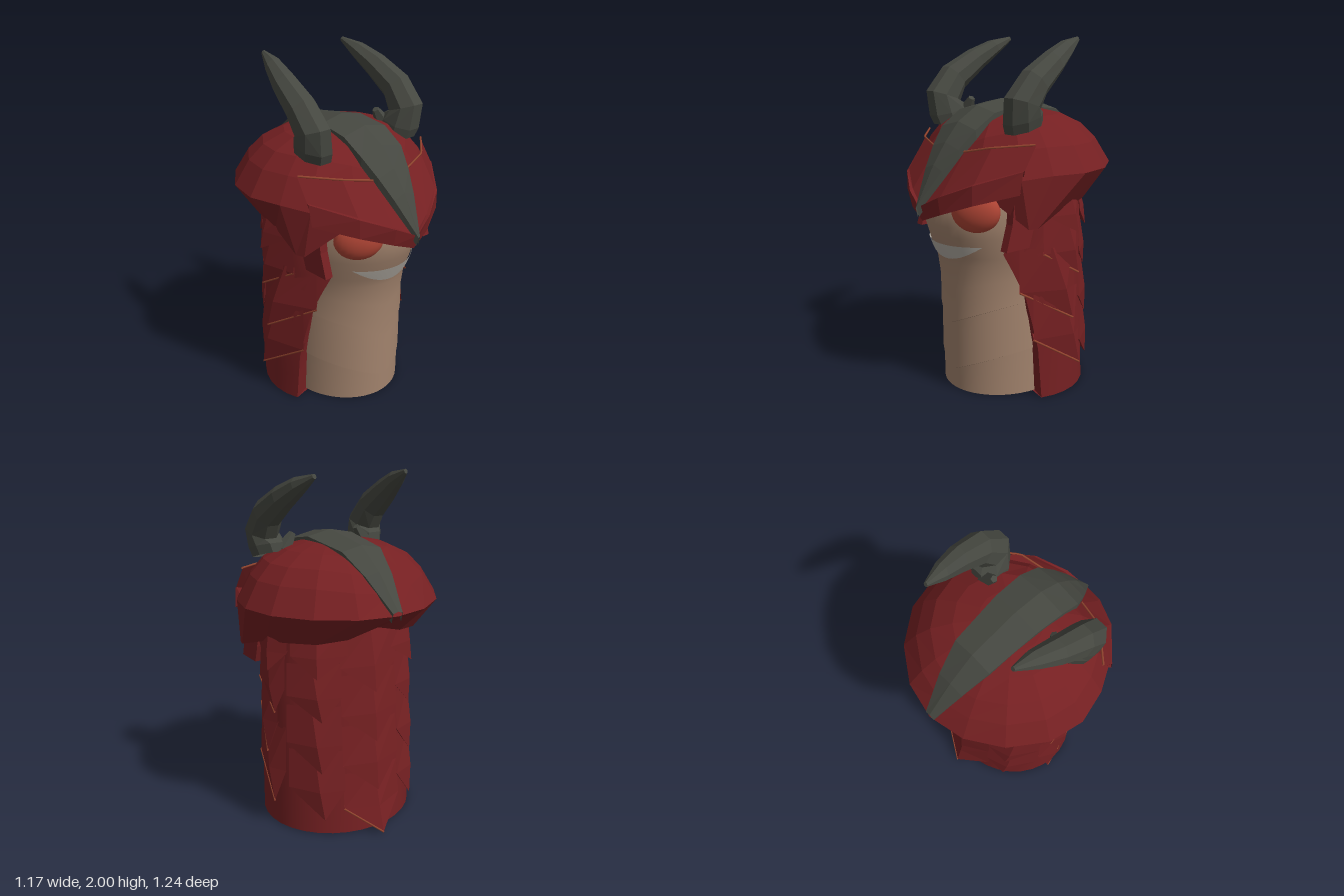
import * as THREE from 'three';
import { toCreasedNormals } from 'three/addons/utils/BufferGeometryUtils.js';

const paint = (name, color) => new THREE.MeshStandardMaterial({ name, color, side: THREE.DoubleSide });

// Linear lookup in a table of [key, value]
function look(table, k) {
  let i = 1;
  while (i < table.length - 1 && k > table[i][0]) i++;
  const [a, b] = [table[i - 1], table[i]];
  const t = THREE.MathUtils.clamp((k - a[0]) / (b[0] - a[0]), 0, 1);
  return a[1] + (b[1] - a[1]) * t;
}

// Skin over rows of points; rows run upward, points run to the right seen from outside
function loft(rows, closed, crease = 0) {
  const n = rows[0].length, index = [];
  for (let r = 0; r < rows.length - 1; r++) {
    for (let i = 0; i < (closed ? n : n - 1); i++) {
      const a = r * n + i, b = r * n + (i + 1) % n;
      index.push(a, b, b + n, a, b + n, a + n);
    }
  }
  return solid(rows.flat(), index, crease);
}

function solid(points, index, crease = 0) {
  let g = new THREE.BufferGeometry();
  g.setAttribute('position', new THREE.Float32BufferAttribute(points.flat(), 3));
  g.setIndex(index);
  if (crease) return toCreasedNormals(g, crease);
  g = g.toNonIndexed();
  g.computeVertexNormals();
  return g;
}

// Thin rod along straight segments
function rod(points, radius) {
  const path = new THREE.CurvePath();
  const v = points.map((p) => new THREE.Vector3(...p));
  for (let i = 1; i < v.length; i++) path.add(new THREE.LineCurve3(v[i - 1], v[i]));
  return new THREE.TubeGeometry(path, 12, radius, 5);
}

// Mirror a half row that runs from the middle to the left side
const mirrorRow = (half) => [...half.slice(1).reverse().map(([x, y, z]) => [-x, y, z]), ...half];

const bodyFront = [[0, .38], [.3, .385], [.55, .395], [.7, .4], [.8, .425], [.88, .46], [1, .5], [1.1, .505], [1.2, .47], [1.35, .36]];
const bodyWide = [[0, .335], [.7, .335], [.85, .36], [1, .38], [1.2, .37], [1.35, .28]];
const shellEdge = [[0, .09], [.3, .11], [.6, .17], [.85, .26], [.95, .21], [1.2, .15]];

// Point on the back shell; angle 0 is the back, growing toward +x
function shellPoint(t, y, out = 0) {
  const c = Math.cos(t), rx = .455 - .01 * y + out;
  const rz = (c > 0 ? .41 - .075 * y : .41) + out;
  return [rx * Math.sin(t), y, -.05 - rz * c];
}

// Corners of a pointed, ridged scale that lifts off the shell toward its tip
function scalePoints(t, top, tip, width, lift, skew) {
  const mid = tip + (top - tip) * .42;
  const p = (k, y, o) => shellPoint(t + k * width - (k === 0 ? skew * (top - y) / (top - tip) : 0), y, o);
  return [
    p(-1, top, .002), p(0, top, .012), p(1, top, .002),
    p(-1, mid, .014), p(0, mid, .028 + lift * .3), p(1, mid, .014),
    p(0, tip, lift), p(-1, mid + .03, -.02), p(0, tip + .07, -.02), p(1, mid + .03, -.02),
  ];
}
const scaleFaces = [0, 1, 4, 0, 4, 3, 1, 2, 5, 1, 5, 4, 3, 4, 6, 4, 5, 6, 3, 6, 8, 3, 8, 7, 6, 5, 9, 6, 9, 8];
// Angles grow leftward seen from behind, so each face is turned over
const scaleIndex = scaleFaces.map((v, i) => scaleFaces[i - i % 3 + [0, 2, 1][i % 3]]).reverse();

export function createModel() {
  const model = new THREE.Group();
  const red = paint('dark red', 0x752022), tan = paint('tan', 0xa2836d), trim = paint('rust trim', 0x94452f);
  const grey = paint('horn grey', 0x454740), orange = paint('eye orange', 0xb04535), bone = paint('tooth grey', 0xb3ada4);
  const add = (name, geometry, material, parent = model) => {
    const m = new THREE.Mesh(geometry, material);
    m.name = name;
    parent.add(m);
    return m;
  };

  // Body with two V-shaped belly plates: [height, V amount, step outward]
  const levels = [[0, 0, 0], [.27, 1, 0], [.273, 1, .006], [.5, 1, .002], [.56, 1, 0], [.563, 1, .006], [.7, .6, .002], [.77, 0, 0],
    [.82, 0, 0], [.88, 0, 0], [.94, 0, 0], [1, 0, 0], [1.1, 0, 0], [1.2, 0, 0], [1.35, 0, 0]];
  const bodyRows = levels.map(([h, v, step]) => Array.from({ length: 48 }, (_, i) => {
    const a = i / 48 * Math.PI * 2, s = Math.sin(a), c = Math.cos(a);
    const y = h - (c > 0 ? .155 * v * (1 - Math.abs(s)) : 0);
    return [s * (look(bodyWide, y) + step), y, c * (c > 0 ? look(bodyFront, y) + step : .34)];
  }));
  bodyRows.unshift(bodyRows[0].map(() => [0, 0, 0]));
  add('body', loft(bodyRows, true, .7), tan);

  // Back shell, tucked in to the body along its front edges
  const shellRows = [0, .15, .3, .45, .6, .75, .85, .95, 1.2, 1.32].map((y) => {
    const edge = Math.acos((-.05 - look(shellEdge, y)) / .41);
    const row = [shellPoint(edge, y, -.12)];
    for (let i = 0; i <= 20; i++) row.push(shellPoint(edge * (1 - i / 10), y));
    row.push(shellPoint(-edge, y, -.12));
    return row;
  });
  add('backShell', loft(shellRows, false, .6), red);
  const rim = shellRows[0];
  add('shellBottom', loft([rim.map(([x, , z]) => [x * .75, 0, z * .75]), rim], false), red);

  // Overlapping scales: [angle, top, tip, half width, lift, backward sweep of tip]
  const scales = new THREE.Group();
  scales.name = 'scales';
  model.add(scales);
  const addScale = (name, s, edged) => {
    const pts = scalePoints(...s);
    add(name, solid(pts, scaleIndex), red, scales);
    if (edged) add('scaleTrim', rod([pts[s[0] < 0 ? 3 : 5], pts[6]], .006), trim, scales);
  };
  [[0, .36, .005, .42, .085, 0], [0, .64, .25, .42, .045, 0], [0, .93, .54, .42, .045, 0], [0, 1.18, .83, .42, .05, 0]]
    .forEach((s, i) => addScale('backScale', s, i === 0));
  const sideScales = [[.78, .5, .1, .38, .035, .12], [.8, .76, .38, .38, .035, .12], [.78, 1.0, .68, .38, .035, .12], [.7, 1.2, .93, .38, .05, 0],
    [1.62, .62, .17, .42, .045, .28], [1.78, .88, .46, .44, .04, .3], [1.55, 1.04, .71, .36, .035, .22], [1.5, 1.2, .95, .36, .055, .1]];
  for (const side of [1, -1]) {
    sideScales.forEach(([t, top, tip, w, lift, skew], i) =>
      addScale('sideScale', [t * side, top, tip, w, lift, skew * side], i > 3 && i < 7));
  }

  // Helmet dome: half rim and half lower edge run from front to back
  const half = [[0, 1.12, .55], [.28, 1.22, .43], [.46, 1.28, .28], [.54, 1.3, .13], [.585, 1.3, -.06], [.54, 1.3, -.26], [.4, 1.3, -.45], [.21, 1.3, -.575], [0, 1.3, -.62]];
  const lower = [[0, 1.14, .48], [.26, 1.2, .38], [.475, 1.02, .24], [.49, 1.02, .19], [.45, 1.09, -.03], [.43, 1.12, -.2], [.32, 1.13, -.35], [.17, 1.15, -.42], [0, 1.2, -.45]];
  const ring = (h) => [...h, ...h.slice(1, -1).reverse().map(([x, y, z]) => [-x, y, z])];
  // [share of radius, rise at the sides, rise along the crest]
  const dome = [[1, 0, 0], [.86, .43, .3], [.72, .69, .55], [.52, .87, .8], [.3, .96, .93], [.001, 1, 1]];
  const domeRows = dome.map(([s, hs, hc]) => ring(half.map(([x, y, z]) => {
    const h = hc + (hs - hc) * Math.min(1, x / .4);
    return [x * s, y + (1.62 - y) * h, z * s];
  })));
  add('helmet', loft([ring(lower), ...domeRows], true), red);

  // Brow guard: an upper plate and a lower visor band meeting in a point
  const browTop = [[0, 1.36, .41], [.13, 1.4, .39], [.3, 1.435, .345], [.47, 1.455, .19]];
  const browLow = [[0, 1.115, .585], [.13, 1.185, .55], [.3, 1.265, .46], [.475, 1.335, .27]];
  const visorTop = [[0, 1.115, .602], [.13, 1.18, .57], [.3, 1.255, .475], [.475, 1.33, .28]];
  const visorLow = [[0, 1.035, .58], [.13, 1.085, .555], [.3, 1.15, .475], [.47, 1.21, .3]];
  const visorIn = [[0, 1.11, .5], [.13, 1.15, .48], [.3, 1.2, .4], [.43, 1.24, .25]];
  add('browPlate', loft([visorIn, browLow, browTop].map(mirrorRow), false), red);
  add('visor', loft([visorIn, visorLow, visorTop, browLow].map(mirrorRow), false), red);

  // Ridged crest from brow to nape: [z, height, half width, edge drop]
  const spine = [[-.618, 1.325, .03, .01], [-.45, 1.5, .085, .02], [-.29, 1.615, .125, .025], [.02, 1.66, .147, .03], [.2, 1.63, .155, .032],
    [.33, 1.55, .15, .035], [.42, 1.445, .115, .03], [.5, 1.33, .075, .025], [.617, 1.115, .006, .005]];
  const crestRows = spine.map(([z, y, w, d]) => [[-w, y - d - .05, z * .98], [-w, y - d, z], [0, y, z], [w, y - d, z], [w, y - d - .05, z * .98]]);
  add('crest', loft(crestRows.reverse(), false), grey);

  // Mouth
  const mouthRows = [0, .5, 1].map((t) => Array.from({ length: 17 }, (_, i) => {
    const x = -.24 + i * .03, k = (x / .24) ** 2;
    const y = .8 + .095 * k + t * (.09 - .09 * k);
    return [x, y, look(bodyFront, y) * Math.sqrt(1 - (x / look(bodyWide, y)) ** 2) + .009];
  }));
  add('mouth', loft(mouthRows, false, 1), bone);

  // Paired parts: horns, eyes and cheek guards
  const hornPath = [[.32, 1.53, .14], [.33, 1.58, .155], [.348, 1.66, .175], [.352, 1.765, .095], [.335, 1.865, -.055], [.31, 1.935, -.175], [.288, 1.985, -.285]];
  const hornSize = [[.095, .115], [.1, .12], [.092, .11], [.085, .09], [.07, .07], [.05, .048], [.012, .014]];
  const hornRows = hornPath.map(([x, y, z], i) => {
    const a = hornPath[Math.max(0, i - 1)], b = hornPath[Math.min(6, i + 1)];
    const len = Math.hypot(b[1] - a[1], b[2] - a[2]), ty = (b[1] - a[1]) / len, tz = (b[2] - a[2]) / len;
    return Array.from({ length: 8 }, (_, j) => {
      const q = (j + .5) / 8 * Math.PI * 2, u = Math.sin(q) * hornSize[i][0], v = Math.cos(q) * hornSize[i][1];
      return [x + u, y - tz * v, z + ty * v];
    });
  });
  hornRows.push(hornPath[6] && hornRows[6].map(() => hornPath[6]));
  const cheek = new THREE.Shape([[-.34, .9], [-.18, .9], [-.15, 1], [-.12, 1.24], [-.28, 1.24], [-.3, 1.04]].map((p) => new THREE.Vector2(...p)));
  const cheekGeometry = new THREE.ExtrudeGeometry(cheek, { depth: .05, bevelEnabled: false }).rotateY(Math.PI / 2);

  for (const side of [1, -1]) {
    const pair = new THREE.Group();
    pair.name = side > 0 ? 'leftParts' : 'rightParts';
    pair.scale.x = side;
    model.add(pair);
    add('horn', loft(hornRows, true), grey, pair);
    const spur = add('hornSpur', new THREE.CylinderGeometry(.02, .05, .11, 5).toNonIndexed(), grey, pair);
    spur.geometry.computeVertexNormals();
    spur.position.set(.245, 1.605, .07);
    spur.rotation.z = .6;
    const eye = add('eye', new THREE.SphereGeometry(1, 24, 16), orange, pair);
    eye.scale.set(.135, .115, .07);
    eye.position.set(.235, 1.1, .4);
    eye.rotation.y = .6;
    const guard = add('cheekGuard', cheekGeometry, red, pair);
    guard.position.x = .365;
    add('browTrim', rod(browTop.slice(1).map(([x, y, z]) => [x, y + .004, z + .004]), .006), trim, pair);
  }
  return model;
}
